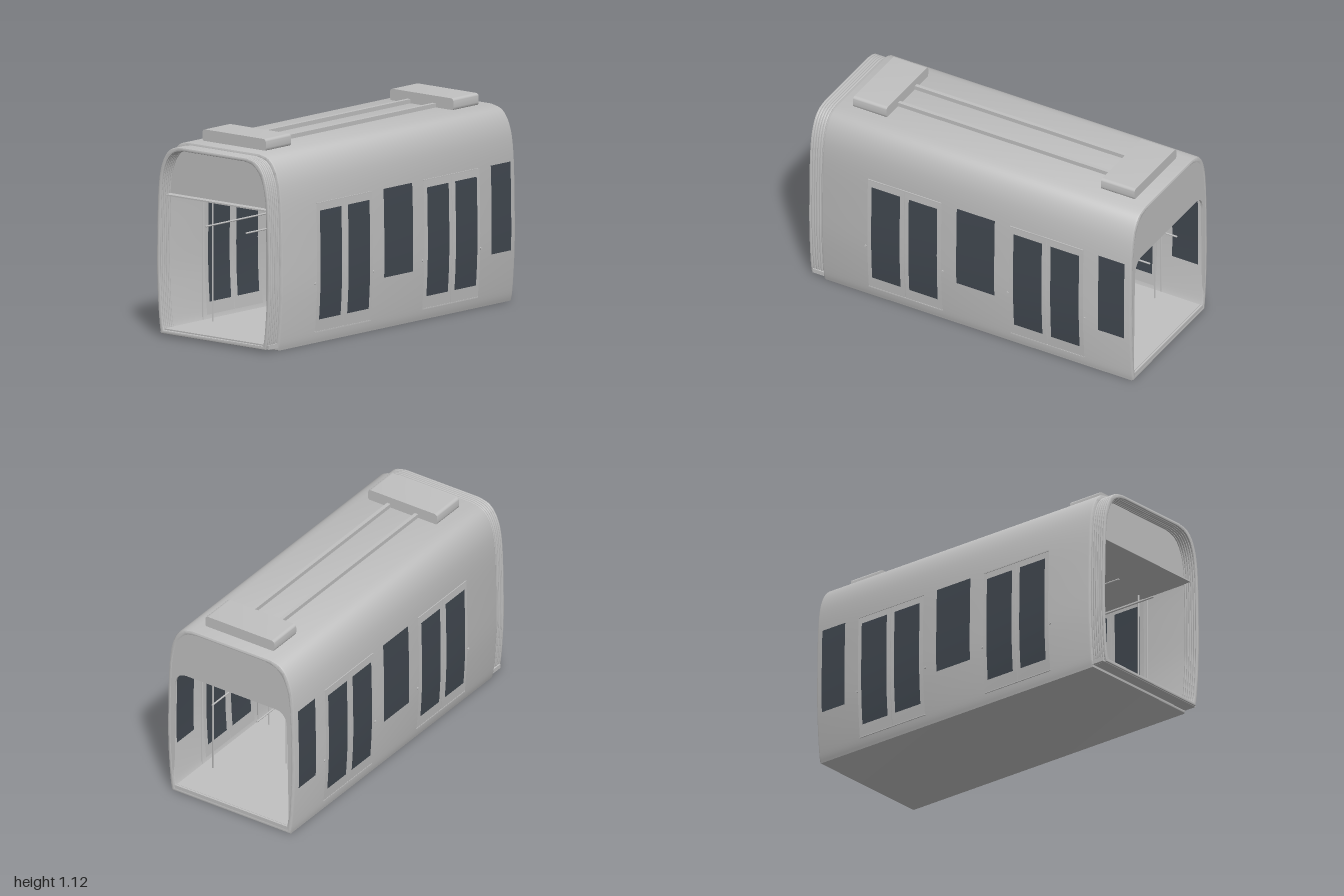
import * as THREE from 'three';
import { toCreasedNormals } from 'three/addons/utils/BufferGeometryUtils.js';

const V = (x, y) => new THREE.Vector2(x, y);
const HEIGHT = 1.06, WALL = 0.028, FLOOR = 0.04, CEILING = 0.76;

// Half cross-section of the car body, from sill to roof
const half = new THREE.SplineCurve([
  V(0.386, 0), V(0.396, 0.05), V(0.407, 0.18), V(0.414, 0.34), V(0.413, 0.55), V(0.408, 0.75),
  V(0.398, 0.87), V(0.38, 0.95), V(0.35, 1.01), V(0.31, 1.045), V(0.25, HEIGHT),
]).getPoints(44);

// Half width of the body at a given height
function halfWidth(y) {
  const i = Math.max(1, half.findIndex((p) => p.y >= y));
  const a = half[i - 1], b = half[i];
  return a.x + (b.x - a.x) * (y - a.y) / (b.y - a.y);
}

// Closed body outline moved inwards by an inset
function outline(inset) {
  const right = half.map((p) => V(p.x - inset, inset + p.y * (HEIGHT - 2 * inset) / HEIGHT));
  return right.concat(right.map((p) => V(-p.x, p.y)).reverse());
}

function ring(outer, inner, z0, z1, bevelThickness, bevelSize) {
  const shape = new THREE.Shape(outline(outer));
  shape.holes.push(new THREE.Path(outline(inner).reverse()));
  const g = new THREE.ExtrudeGeometry(shape, {
    depth: z1 - z0 - 2 * bevelThickness, bevelThickness, bevelSize, bevelOffset: -bevelSize, bevelSegments: 2,
  });
  g.translate(0, 0, z0 + bevelThickness);
  return toCreasedNormals(g, 0.5);
}

export function createModel() {
  const model = new THREE.Group();
  const paint = new THREE.MeshStandardMaterial({ color: 0xc0c0c0 });
  paint.name = 'grey paint';
  const glass = new THREE.MeshStandardMaterial({ color: 0x414850 });
  glass.name = 'dark glass';

  function add(name, geometry, material = paint, x = 0, y = 0, z = 0) {
    const mesh = new THREE.Mesh(geometry, material);
    mesh.name = name;
    mesh.position.set(x, y, z);
    model.add(mesh);
    return mesh;
  }
  function box(name, x0, x1, y0, y1, z0, z1, material = paint) {
    return add(name, new THREE.BoxGeometry(x1 - x0, y1 - y0, z1 - z0), material,
      (x0 + x1) / 2, (y0 + y1) / 2, (z0 + z1) / 2);
  }
  function pole(name, x, z, top, r) {
    add(name, new THREE.CylinderGeometry(r, r, top - FLOOR, 10), paint, x, (top + FLOOR) / 2, z);
  }
  // Thin panel bent to the wall, on its outside and its inside
  function wallPanel(name, side, z0, z1, y0, y1, lift, material = paint) {
    for (const dir of [1, -1]) {
      const g = new THREE.PlaneGeometry(z1 - z0, y1 - y0, 1, 8);
      const p = g.attributes.position;
      for (let i = 0; i < p.count; i++) {
        const y = p.getY(i) + (y0 + y1) / 2;
        const x = halfWidth(y) + (dir > 0 ? lift : -WALL - lift - 0.002);
        p.setXYZ(i, side * x, y, (z0 + z1) / 2 - side * dir * p.getX(i));
      }
      g.computeVertexNormals();
      add(name + (dir > 0 ? 'Outside' : 'Inside'), g, material);
    }
  }

  // Body shell, floor and ceiling
  add('bodyShell', ring(0, WALL, -1, 0.915, 0.012, 0.012));
  box('floor', -0.385, 0.385, 0.016, FLOOR, -0.985, 0.985);
  box('ceiling', -0.385, 0.385, CEILING, CEILING + 0.008, -0.99, 0.96);

  // Rear end wall with a round-cornered gangway opening
  const endShape = new THREE.Shape(outline(0.013));
  const opening = new THREE.Path();
  opening.moveTo(-0.378, FLOOR);
  opening.lineTo(-0.365, 0.67);
  opening.quadraticCurveTo(-0.36, CEILING, -0.29, CEILING);
  opening.lineTo(0.29, CEILING);
  opening.quadraticCurveTo(0.36, CEILING, 0.365, 0.67);
  opening.lineTo(0.378, FLOOR);
  opening.closePath();
  endShape.holes.push(opening);
  add('rearEndWall', toCreasedNormals(
    new THREE.ExtrudeGeometry(endShape, { depth: 0.012, bevelEnabled: false, curveSegments: 10 }), 0.5), paint, 0, 0, -0.9985);

  // Front header above the gangway
  const upper = outline(0.03).filter((p) => p.y > CEILING);
  const w = halfWidth(CEILING) - 0.03;
  const header = new THREE.Shape([V(w, CEILING), ...upper, V(-w, CEILING)]);
  add('frontHeader', new THREE.ExtrudeGeometry(header, { depth: 0.012, bevelEnabled: false }), paint, 0, 0, 0.905);

  // Pleated gangway bellows
  for (let i = 0; i < 6; i++) {
    const z = 0.91 + i * 0.015;
    add('bellowsPleat', ring(0.014, 0.034, z, z + 0.015, 0.006, 0.007));
  }

  // Doors and windows on both sides
  for (const s of [1, -1]) {
    for (const [z0, z1] of [[0.172, 0.628], [-0.706, -0.25]]) {
      const mid = (z0 + z1) / 2;
      for (const [a, b] of [[z0, mid - 0.002], [mid + 0.002, z1]]) {
        wallPanel('doorLeaf', s, a, b, 0.062, 0.762, 0.003);
        const c = (a + b) / 2;
        wallPanel('doorGlass', s, c - 0.088, c + 0.088, 0.13, 0.725, 0.005, glass);
      }
      // Guide rails above and below the leaves
      for (const y of [0.062, 0.766]) {
        const x = s * (halfWidth(y) + 0.001);
        box('doorRail', x - 0.004, x + 0.004, y - 0.003, y + 0.003, z0, z1);
      }
      // Push buttons and grab rails beside the doorway
      for (const z of [z0 - 0.008, z1 + 0.012]) {
        const button = add('doorButton', new THREE.CylinderGeometry(0.007, 0.007, 0.012, 12), paint,
          s * halfWidth(0.33), 0.33, z);
        button.rotation.z = Math.PI / 2;
      }
      for (const z of [z0 - 0.035, z1 + 0.035]) {
        pole('doorwayPole', s * 0.295, z, 0.742, 0.005);
        pole('wallPole', s * 0.365, z, 0.75, 0.005);
      }
    }
    wallPanel('middleWindow', s, -0.157, 0.078, 0.283, 0.767, 0.003, glass);
    wallPanel('rearWindow', s, -0.96, -0.8, 0.283, 0.767, 0.003, glass);

    // Overhead hand rail
    const rail = add('handRail', new THREE.CylinderGeometry(0.005, 0.005, 1.86, 10), paint, s * 0.145, 0.61, -0.035);
    rail.rotation.x = Math.PI / 2;

    // Seats back to back beside the aisle
    for (const x of [0.15, 0.307]) {
      const a = s * x - 0.074, b = s * x + 0.074;
      box('seatCushion', a, b, 0.168, 0.2, -0.17, 0.1);
      box('seatBack', a, b, 0.2, 0.415, -0.05, -0.02);
    }

    // Roof conduit
    box('roofConduit', s * 0.09 - 0.011, s * 0.09 + 0.011, 1.05, 1.083, -0.72, 0.63);
  }

  // Centre poles in the door areas
  for (const z of [0.4, -0.478]) pole('centrePole', 0, z, CEILING, 0.005);

  // Hanging display with a screen on each face
  box('displayCase', -0.106, 0.106, 0.655, 0.73, -0.05, -0.02);
  for (const z of [-0.051, -0.019]) box('displayScreen', -0.098, 0.098, 0.661, 0.724, z - 0.002, z + 0.002, glass);

  // Roof equipment boxes with rounded long edges
  const r = 0.02, top = 1.123, base = 1.056;
  const pod = new THREE.Shape();
  pod.moveTo(-0.225 + r, base);
  pod.lineTo(0.225 - r, base);
  pod.quadraticCurveTo(0.225, base, 0.225, base + r);
  pod.lineTo(0.225, top - r);
  pod.quadraticCurveTo(0.225, top, 0.225 - r, top);
  pod.lineTo(-0.225 + r, top);
  pod.quadraticCurveTo(-0.225, top, -0.225, top - r);
  pod.lineTo(-0.225, base + r);
  pod.quadraticCurveTo(-0.225, base, -0.225 + r, base);
  for (const z of [0.62, -0.915]) {
    add('roofBox', toCreasedNormals(
      new THREE.ExtrudeGeometry(pod, { depth: 0.207, bevelEnabled: false, curveSegments: 6 }), 0.5), paint, 0, 0, z);
  }
  return model;
}
